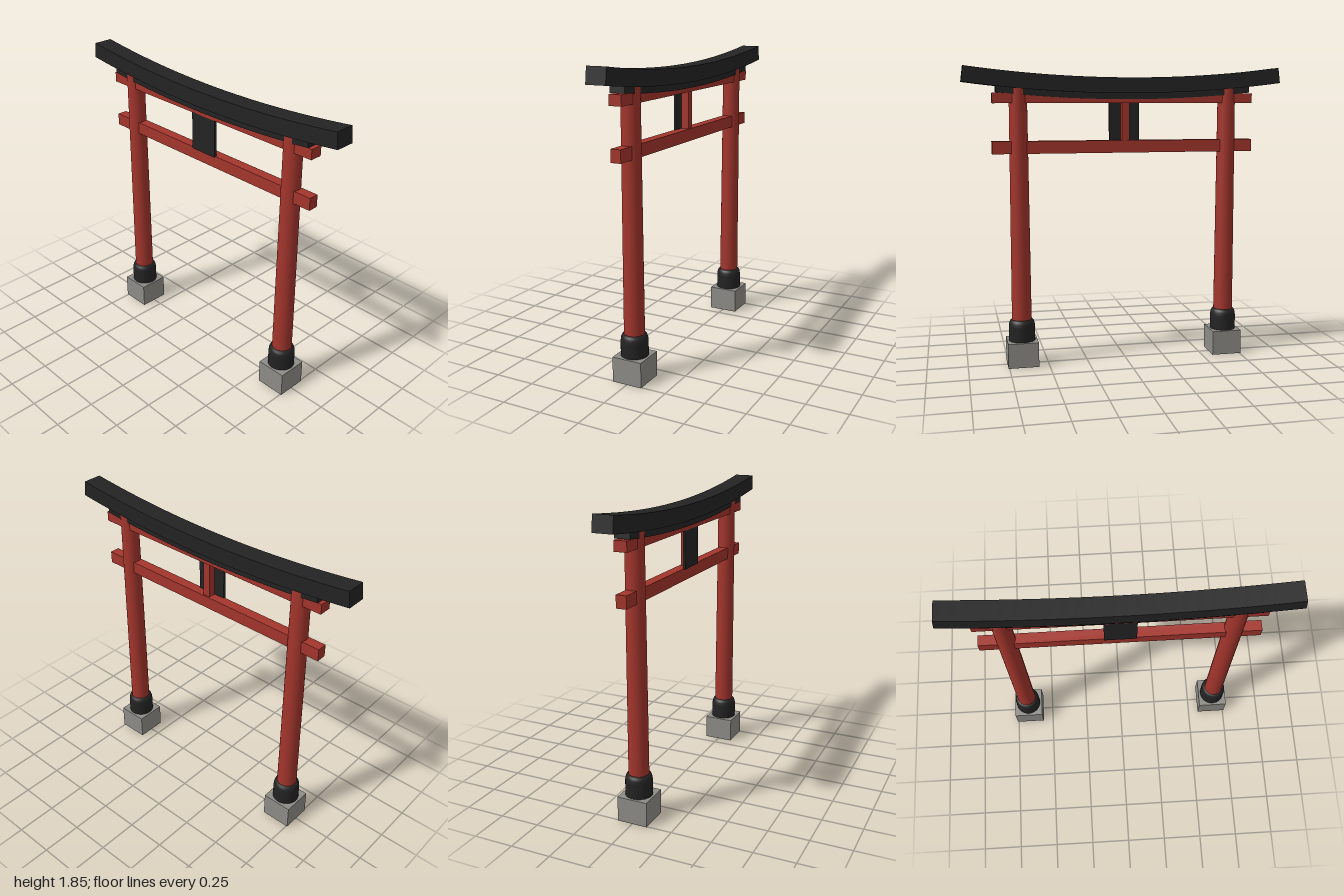
import * as THREE from 'three';

const material = (name, color, extra = {}) => {
  const m = new THREE.MeshStandardMaterial({ color, ...extra });
  m.name = name;
  return m;
};

export function createModel() {
  const red = material('vermilion paint', 0xa3352c);
  const black = material('black lacquer', 0x232323);
  const stone = material('grey stone', 0x8e8c87, { side: THREE.DoubleSide });

  const gate = new THREE.Group();
  gate.name = 'gate';

  const add = (name, geometry, mat, x = 0, y = 0, z = 0, parent = gate) => {
    const mesh = new THREE.Mesh(geometry, mat);
    mesh.name = name;
    mesh.position.set(x, y, z);
    parent.add(mesh);
    return mesh;
  };

  // A bar bent upward towards its ends, with the ends square to the curve
  const SAG = 0.066;
  const curvedBar = (halfLength, height, depth) => {
    const g = new THREE.BoxGeometry(halfLength * 2, height, depth, 24, 1, 1);
    const p = g.attributes.position;
    for (let i = 0; i < p.count; i++) {
      const x = p.getX(i), y = p.getY(i);
      p.setX(i, x - 2 * SAG * x * y);
      p.setY(i, y + SAG * x * x);
    }
    g.computeVertexNormals();
    return g;
  };

  // Stone block without an underside
  const openBlock = (width, height) => {
    const g = new THREE.BoxGeometry(width, height, width);
    const index = Array.from(g.index.array);
    index.splice(18, 6);
    g.setIndex(index);
    g.clearGroups();
    return g;
  };

  // Collar with a rounded shoulder
  const collarProfile = [
    [0.082, 0], [0.082, 0.09], [0.079, 0.112], [0.073, 0.127], [0.064, 0.135], [0.05, 0.135],
  ].map(([r, y]) => new THREE.Vector2(r, y));

  // Posts on their footings
  for (const side of [-1, 1]) {
    const post = new THREE.Group();
    post.name = side > 0 ? 'leftPost' : 'rightPost';
    post.position.x = side * 0.662;
    gate.add(post);
    add('footing', openBlock(0.19, 0.155), stone, 0, 0.0775, 0, post);
    add('collar', new THREE.LatheGeometry(collarProfile, 32), black, 0, 0.155, 0, post);
    add('shaft', new THREE.CylinderGeometry(0.055, 0.062, 1.565, 32), red, 0, 0.9375, 0, post);
  }

  // Straight crossbeams
  add('lowerCrossbeam', new THREE.BoxGeometry(1.65, 0.076, 0.064), red, 0, 1.362);
  add('upperCrossbeam', new THREE.BoxGeometry(1.64, 0.062, 0.078), red, 0, 1.66);

  // Curved double lintel
  add('lowerLintel', curvedBar(0.797, 0.045, 0.094), black, 0, 1.676);
  add('topLintel', curvedBar(0.994, 0.095, 0.122), black, 0, 1.738);

  // Central strut and tablet
  add('centreStrut', new THREE.BoxGeometry(0.047, 0.235, 0.047), red, 0, 1.515);
  add('tablet', new THREE.BoxGeometry(0.19, 0.238, 0.016), black, 0, 1.513, 0.031);

  return gate;
}
